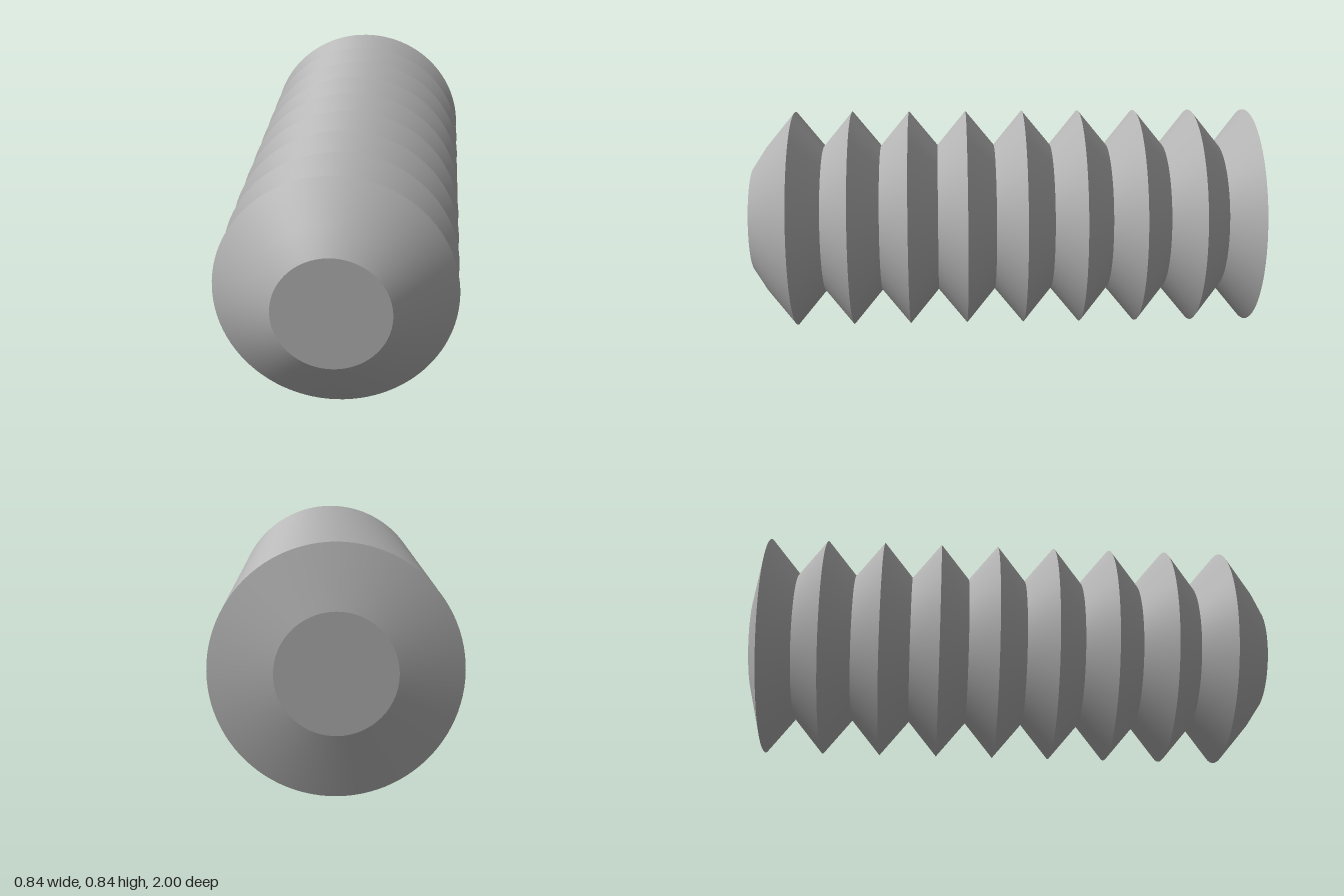
import * as THREE from 'three';

const SEGMENTS = 96;
const PITCH = 2 / 9;
const R_RIDGE = 0.421, R_VALLEY = 0.287, R_END = 0.203;

export function createModel() {
  const model = new THREE.Group();
  model.name = 'ribbedCylinder';
  const grey = new THREE.MeshStandardMaterial({ color: 0xb4b4b4 });
  grey.name = 'grey';

  // Surface of revolution about z; points are [radius, z], back to front
  function band(name, points, parent) {
    const geometry = new THREE.LatheGeometry(points.map(([r, z]) => new THREE.Vector2(r, z)), SEGMENTS);
    geometry.rotateX(Math.PI / 2);
    const mesh = new THREE.Mesh(geometry, grey);
    mesh.name = name;
    parent.add(mesh);
  }

  // Nine sharp ridges, each a pair of cones; the first and last run into the end faces
  const ridges = new THREE.Group();
  ridges.name = 'ridges';
  for (let i = 0; i < 9; i++) {
    const z = -1 + PITCH / 4 + i * PITCH;
    const back = i === 0 ? [R_END, -1] : [R_VALLEY, z - PITCH / 2];
    const front = [[R_RIDGE, z], [R_VALLEY, z + PITCH / 2]];
    if (i === 8) front.push([R_END, 1]);
    band(`ridgeBack${i + 1}`, [back, [R_RIDGE, z]], ridges);
    band(i === 8 ? 'nose' : `ridgeFront${i + 1}`, front, ridges);
  }
  model.add(ridges);

  // Flat end faces
  for (const side of [1, -1]) {
    const cap = new THREE.Mesh(new THREE.CircleGeometry(R_END, SEGMENTS), grey);
    cap.name = side > 0 ? 'frontEnd' : 'backEnd';
    cap.position.z = side;
    if (side < 0) cap.rotation.y = Math.PI;
    model.add(cap);
  }

  model.position.y = 0.423;
  const root = new THREE.Group();
  root.name = 'model';
  root.add(model);
  return root;
}
